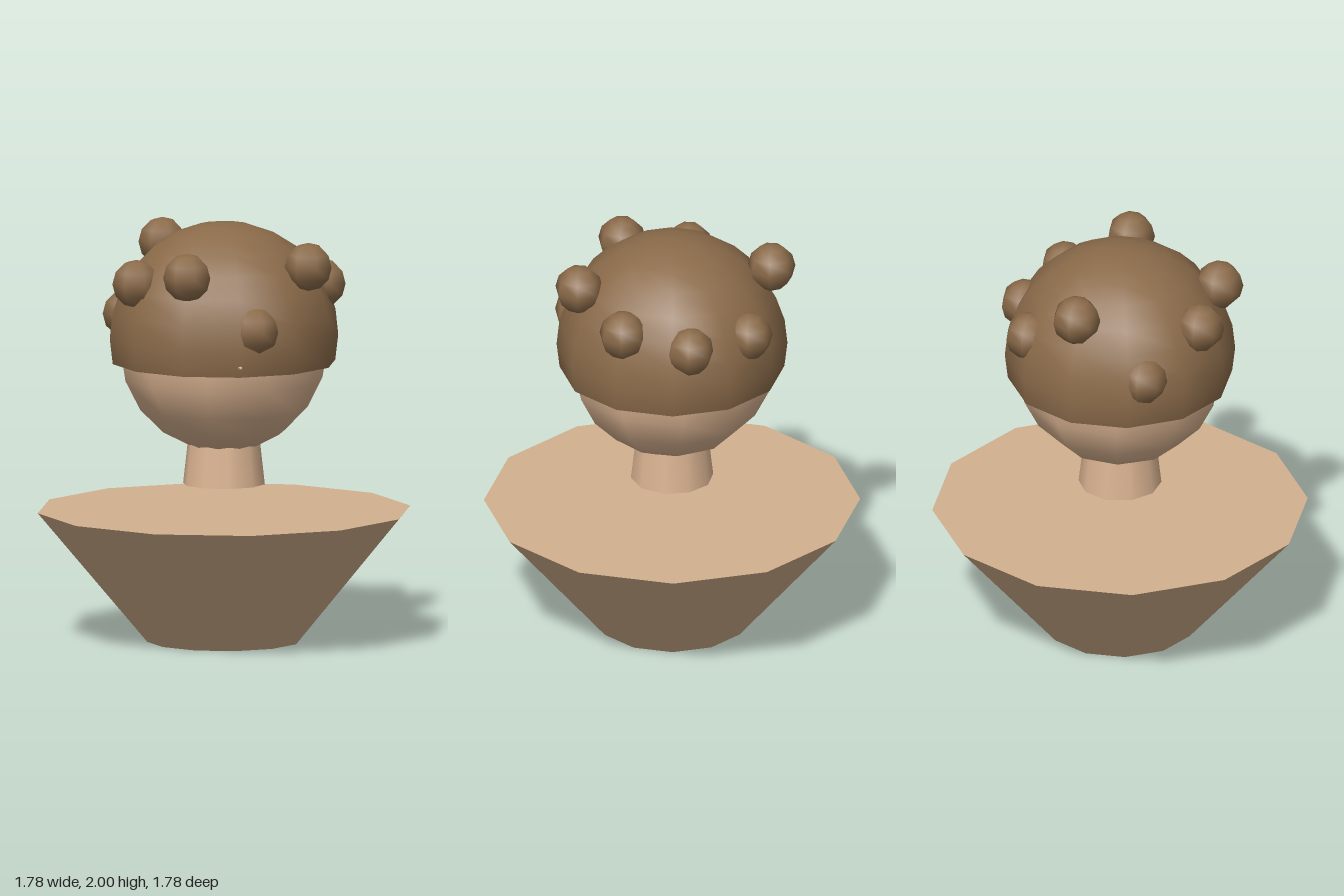
import * as THREE from 'three';

function material(name, color, side = THREE.FrontSide) {
  const m = new THREE.MeshStandardMaterial({ color, side });
  m.name = name;
  return m;
}

export function createModel() {
  const model = new THREE.Group();
  model.name = 'bust';
  const skin = material('skin', 0xdab391);
  const shoulder = material('shoulder tan', 0xd2b08e);
  const hair = material('hair brown', 0x8b6b4a, THREE.DoubleSide);

  const add = (name, geometry, mat, x, y, z, parent = model) => {
    const mesh = new THREE.Mesh(geometry, mat);
    mesh.name = name;
    mesh.position.set(x, y, z);
    parent.add(mesh);
    return mesh;
  };

  // Shoulders: a tapered twelve-sided block, wide at the top
  add('shoulders', new THREE.CylinderGeometry(0.89, 0.367, 0.625, 12), shoulder, 0, 0.3125, 0);

  // Neck floats above the shoulders and runs up into the head
  add('neck', new THREE.CylinderGeometry(0.162, 0.196, 0.3, 10), skin, 0, 0.9, 0);
  add('head', new THREE.SphereGeometry(0.495, 10, 10), skin, 0, 1.4, 0);

  // Nose: only the tip comes out through the hair
  const nose = add('nose', new THREE.ConeGeometry(0.07, 0.16, 6), skin, 0, 1.375, 0.48);
  nose.rotation.x = Math.PI / 2;

  // Hair: open cap reaching a little below the middle of its sphere
  add('hairCap', new THREE.SphereGeometry(0.546, 12, 8, 0, Math.PI * 2, 0, Math.PI * 0.573), hair, 0, 1.454, 0);

  // Ring of nine curls at varying heights
  const curls = new THREE.Group();
  curls.name = 'curls';
  model.add(curls);
  const curl = new THREE.SphereGeometry(0.115, 7, 6);
  [1.7, 1.82, 1.54, 1.795, 1.735, 1.55, 1.855, 1.64, 1.64].forEach((y, i) => {
    const a = (i / 9) * Math.PI * 2;
    add('curl', curl, hair, 0.47 * Math.cos(a), y, 0.47 * Math.sin(a), curls);
  });

  return model;
}
